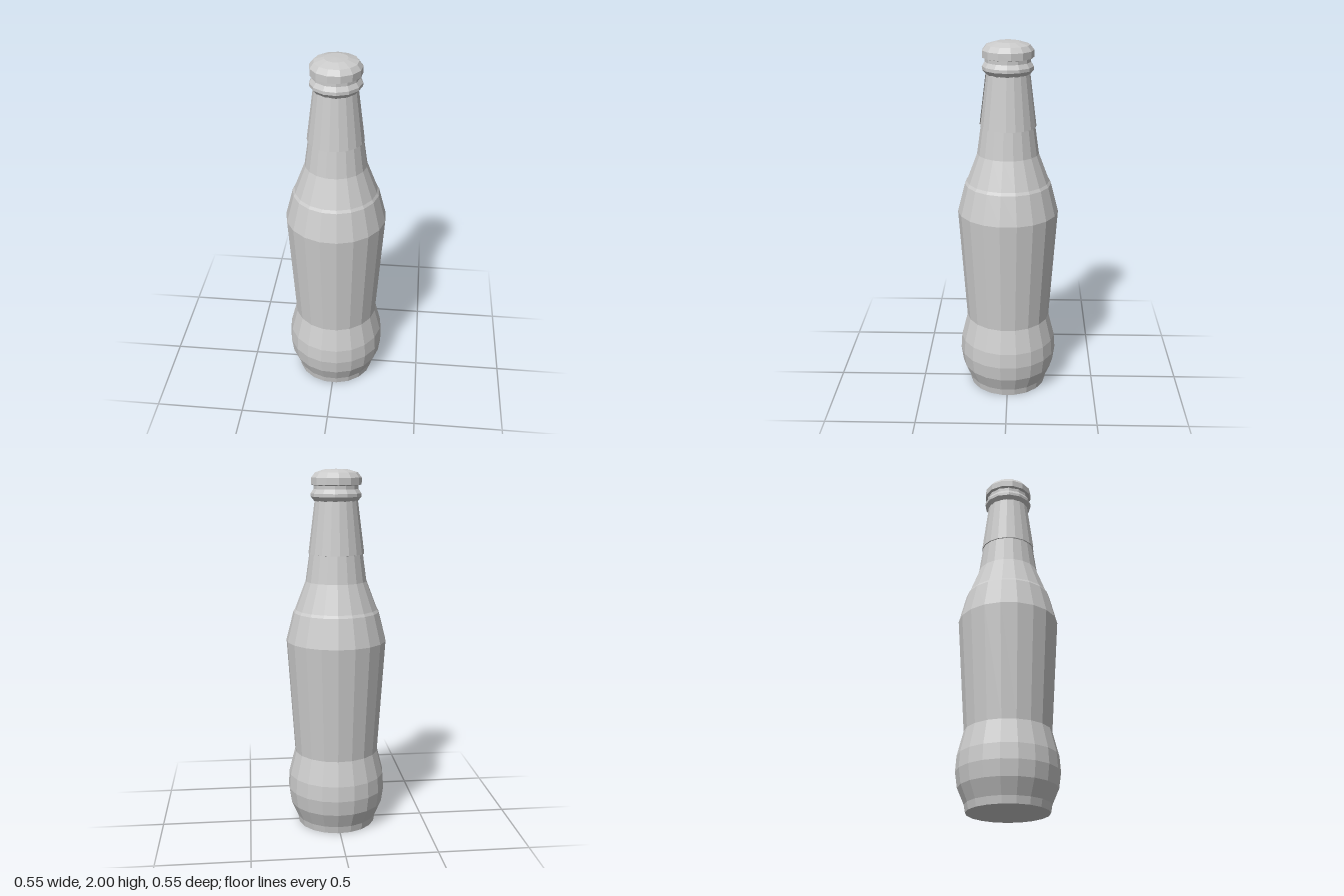
import * as THREE from 'three';

const SEAM = -0.13;

// Flat-shaded turned part from [radius, height] pairs, listed bottom to top
function turned(name, profile, sides, phi = 0) {
  const points = profile.map(([r, y]) => new THREE.Vector2(r, y));
  const material = new THREE.MeshStandardMaterial({ color: 0xcccccc, flatShading: true });
  const mesh = new THREE.Mesh(new THREE.LatheGeometry(points, sides, phi), material);
  mesh.name = name;
  return mesh;
}

export function createModel() {
  const bottle = new THREE.Group();
  bottle.name = 'bottle';

  // Glass body: foot, rounded base, tapering waist, shoulder and neck
  bottle.add(turned('body', [
    [0, 0], [0.22, 0], [0.227, 0.04], [0.264, 0.125], [0.276, 0.21],
    [0.27, 0.295], [0.236, 0.43], [0.278, 1.07], [0.237, 1.23],
    [0.227, 1.245], [0.168, 1.4], [0.147, 1.55], [0.114, 1.835],
  ], 19, 0.11));

  // Neck label: a thin wrap whose two ends overlap at the front
  const label = turned('neckLabel', [
    [0.145, 1.549], [0.15, 1.55], [0.115, 1.835],
  ], 19, SEAM);
  const pos = label.geometry.attributes.position;
  const rows = 3;
  for (let i = 0; i < pos.count; i++) {
    const turn = Math.floor(i / rows) / 19;
    const swell = 1 + 0.035 * turn;
    pos.setX(i, pos.getX(i) * swell);
    pos.setZ(i, pos.getZ(i) * swell);
  }
  label.material.side = THREE.DoubleSide;
  bottle.add(label);

  // Lip ring below the cap
  bottle.add(turned('lipRing', [
    [0.108, 1.825], [0.118, 1.832], [0.137, 1.855], [0.137, 1.872],
    [0.122, 1.895], [0.122, 1.925],
  ], 13, 0.1));

  // Faceted crown cap
  bottle.add(turned('cap', [
    [0.115, 1.912], [0.137, 1.918], [0.137, 1.955], [0.116, 1.982],
    [0.062, 1.998], [0, 2],
  ], 13, 0.25));

  return bottle;
}
